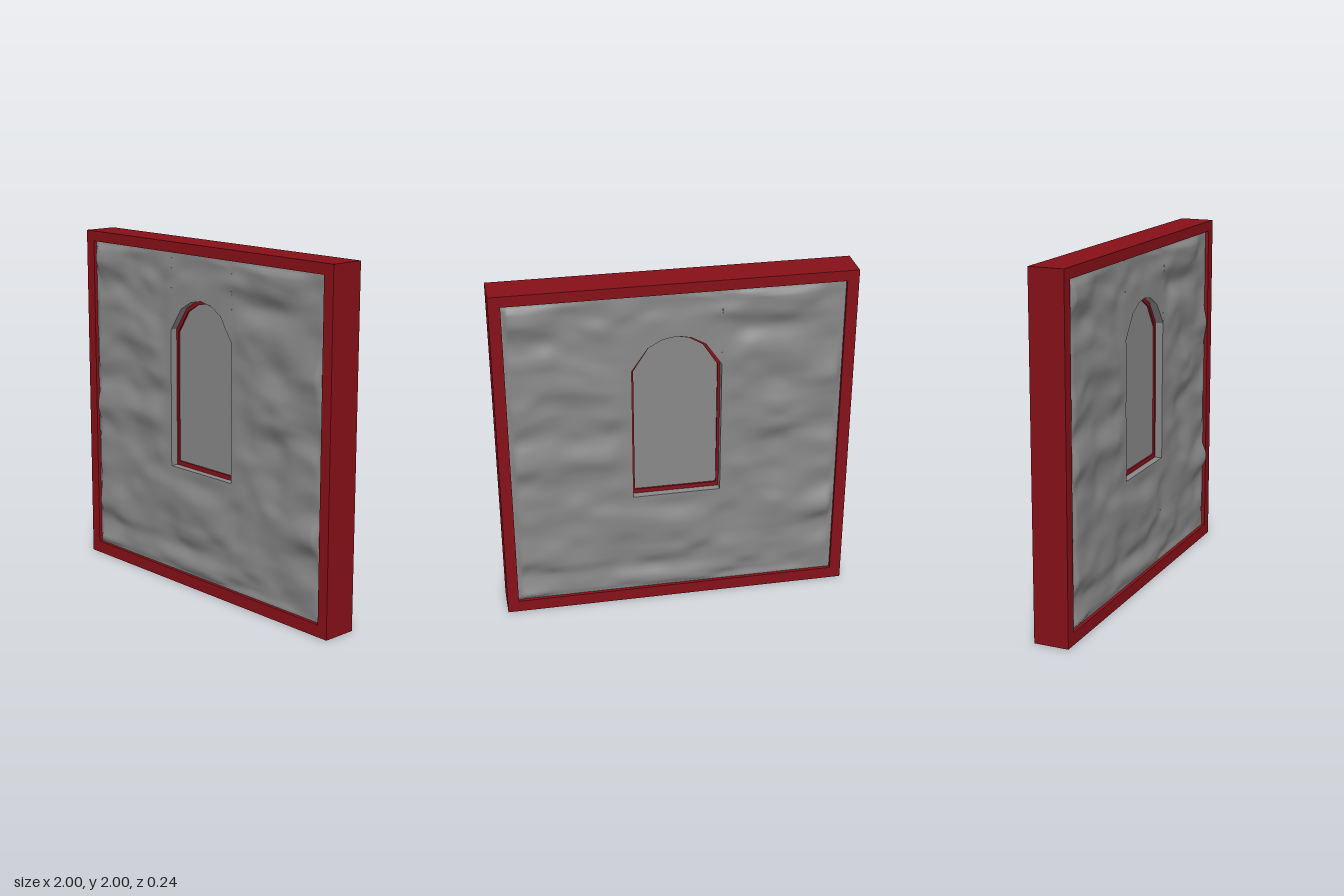
import * as THREE from 'three';

const ARCH = [[0.25, 1.5], [0.16, 1.63], [0.08, 1.675], [0, 1.69], [-0.08, 1.675], [-0.16, 1.63], [-0.25, 1.5]];
const OPENING = [[-0.25, 0.7], [0.25, 0.7], ...ARCH];
const PANE = [[-0.235, 0.725], [0.235, 0.725], ...ARCH.map(([x, y]) => [x * 0.94, y - 0.02])];
const L = 0.935, BOTTOM = 0.07, TOP = 1.94;
const WALL = [[-L, BOTTOM], [L, BOTTOM], [L, TOP], [-L, TOP]];

const toPoints = (list) => list.map(([x, y]) => new THREE.Vector2(x, y));

// Extruded outline centred on z = 0, with an optional hole
function slab(outline, hole, depth, material, name) {
  const shape = new THREE.Shape(toPoints(outline));
  if (hole) shape.holes.push(new THREE.Path(toPoints(hole)));
  const geometry = new THREE.ExtrudeGeometry(shape, { depth, bevelEnabled: false });
  geometry.translate(0, 0, -depth / 2);
  const mesh = new THREE.Mesh(geometry, material);
  mesh.name = name;
  return mesh;
}

// Smooth repeatable noise for the rough stone
function hash(i, j) {
  const s = Math.sin(i * 127.1 + j * 311.7) * 43758.5453;
  return s - Math.floor(s);
}
function noise(x, y) {
  const i = Math.floor(x), j = Math.floor(y);
  const u = THREE.MathUtils.smoothstep(x - i, 0, 1), v = THREE.MathUtils.smoothstep(y - j, 0, 1);
  const { lerp } = THREE.MathUtils;
  return lerp(lerp(hash(i, j), hash(i + 1, j), u), lerp(hash(i, j + 1), hash(i + 1, j + 1), u), v);
}

// Height of the stone face: long swells, calm at the opening, sinking at the frame
function height(x, y) {
  const { smoothstep } = THREE.MathUtils;
  const warp = 0.08 * noise(x * 3 + 9, y * 3);
  const h = 0.7 * noise(x * 3.4 + 20, (y + warp) * 7 + 3)
    + 0.3 * noise(x * 7 + 40, (y + warp) * 11 + 7);
  const d = Math.hypot(Math.max(Math.abs(x) - 0.25, 0), Math.max(Math.abs(y - 1.2) - 0.5, 0));
  const rough = 0.07 * (0.15 + 0.85 * smoothstep(d, 0, 0.15));
  const border = Math.min(L - Math.abs(x), y - BOTTOM, TOP - y);
  const sink = 1 - smoothstep(border, 0, 0.04);
  return THREE.MathUtils.lerp(0.093 + rough * (h - 0.5), 0.08, sink);
}

// Grid between x0 and x1 whose lower and upper edges are functions of x
function patch(x0, x1, low, high, step = 0.018) {
  const nx = Math.ceil((x1 - x0) / step), ny = Math.ceil((high(0) - low(0)) / step);
  const geometry = new THREE.PlaneGeometry(1, 1, nx, ny);
  const pos = geometry.attributes.position, normal = geometry.attributes.normal;
  const n = new THREE.Vector3(), e = 0.008;
  for (let k = 0; k < pos.count; k++) {
    const x = x0 + (pos.getX(k) + 0.5) * (x1 - x0);
    const y = THREE.MathUtils.lerp(low(x), high(x), pos.getY(k) + 0.5);
    pos.setXYZ(k, x, y, height(x, y));
    n.set(height(x - e, y) - height(x + e, y), height(x, y - e) - height(x, y + e), 2 * e).normalize();
    normal.setXYZ(k, n.x, n.y, n.z);
  }
  return geometry;
}

// Strip from depth z up to the stone face along a closed outline
function skirt(outline, z) {
  const positions = [];
  outline.forEach(([ax, ay], k) => {
    const [bx, by] = outline[(k + 1) % outline.length];
    const count = Math.ceil(Math.hypot(bx - ax, by - ay) / 0.02);
    const at = (i) => [ax + (bx - ax) * i / count, ay + (by - ay) * i / count];
    for (let i = 0; i < count; i++) {
      const p = at(i), q = at(i + 1);
      const p0 = [...p, z], q0 = [...q, z], p1 = [...p, height(...p)], q1 = [...q, height(...q)];
      positions.push(...p0, ...q0, ...q1, ...p0, ...q1, ...p1);
    }
  });
  const geometry = new THREE.BufferGeometry();
  geometry.setAttribute('position', new THREE.Float32BufferAttribute(positions, 3));
  geometry.computeVertexNormals();
  return geometry;
}

// Upper edge of the opening at x
function archTop(x) {
  const a = Math.min(Math.abs(x), 0.25);
  for (let k = 0; k < 3; k++) {
    const [x0, y0] = ARCH[k], [x1, y1] = ARCH[k + 1];
    if (a >= x1) return y0 + (y1 - y0) * (x0 - a) / (x0 - x1);
  }
  return 1.69;
}

function stoneFace(material, name) {
  const group = new THREE.Group();
  group.name = name;
  const add = (geometry, part) => {
    const mesh = new THREE.Mesh(geometry, material);
    mesh.name = part;
    group.add(mesh);
  };
  const bottom = () => BOTTOM, top = () => TOP;
  add(patch(-L, -0.25, bottom, top), 'stoneRight');
  add(patch(0.25, L, bottom, top), 'stoneLeft');
  add(patch(-0.25, 0.25, bottom, () => 0.7), 'stoneBelowWindow');
  // Split where the arch bends so its corners stay crisp
  const bends = ARCH.map(([x]) => x).reverse();
  for (let k = 0; k < bends.length - 1; k++) {
    add(patch(bends[k], bends[k + 1], archTop, top), 'stoneAboveWindow');
  }
  add(skirt(OPENING, 0.03), 'windowReveal');
  return group;
}

export function createModel() {
  const group = new THREE.Group();
  group.name = 'wallWithWindow';
  const red = new THREE.MeshStandardMaterial({ color: 0x861018 });
  const grey = new THREE.MeshStandardMaterial({ color: 0x888888 });
  const stone = new THREE.MeshStandardMaterial({ color: 0x888888, side: THREE.DoubleSide });

  // Square outer frame
  const outer = [[-1, 0], [1, 0], [1, 2], [-1, 2]];
  group.add(slab(outer, WALL, 0.2, red, 'outerFrame'));

  // Rough stone on both sides, the back being the front turned half round
  const front = stoneFace(stone, 'frontStone');
  const back = front.clone();
  back.name = 'backStone';
  back.rotation.y = Math.PI;
  group.add(front, back);

  // Arched window frame and its pane
  group.add(slab(OPENING, PANE, 0.1, red, 'windowFrame'));
  group.add(slab(PANE, null, 0.08, grey, 'windowPane'));
  return group;
}
